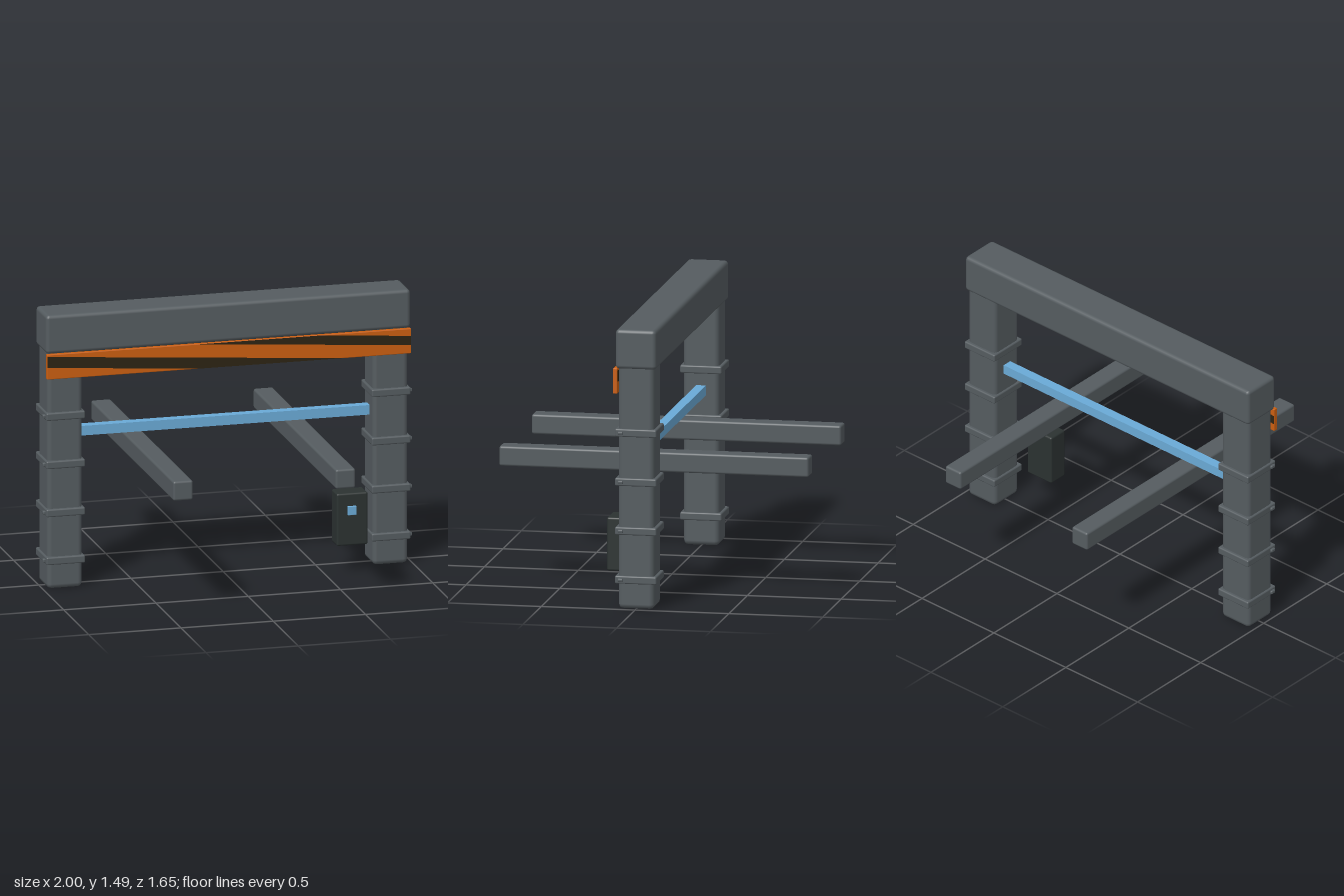
import * as THREE from 'three';
import { RoundedBoxGeometry } from 'three/addons/geometries/RoundedBoxGeometry.js';

const material = (name, color) => {
  const m = new THREE.MeshStandardMaterial({ color });
  m.name = name;
  return m;
};

export function createModel() {
  const group = new THREE.Group();
  const steel = material('steel grey', 0x555c60);
  const orange = material('warning orange', 0xcb5f10);
  const stripeDark = material('stripe black', 0x2d2413);
  const caseDark = material('case black', 0x2b3231);
  const blue = material('light blue', 0x6aaad6);

  // Bevelled box placed by its centre
  function block(name, mat, [w, h, d], [x, y, z], radius, parent = group) {
    const mesh = new THREE.Mesh(new RoundedBoxGeometry(w, h, d, 2, radius), mat);
    mesh.name = name;
    mesh.position.set(x, y, z);
    parent.add(mesh);
    return mesh;
  }

  // Lintel across the top
  block('topBeam', steel, [1.974, 0.21, 0.216], [0, 1.383, 0], 0.02);

  // Posts with clamp bands and outer bolts, and the two long rails
  for (const side of [-1, 1]) {
    const label = side > 0 ? 'left' : 'right';
    const post = new THREE.Group();
    post.name = label + 'PostAssembly';
    group.add(post);
    block(label + 'Post', steel, [0.19, 1.32, 0.19], [side * 0.882, 0.66, 0], 0.025, post);
    for (const y of [0.155, 0.415, 0.676, 0.938]) {
      block('clampBand', steel, [0.21, 0.042, 0.222], [side * 0.882, y, 0], 0.008, post);
      block('clampBolt', steel, [0.03, 0.018, 0.028], [side * 0.985, y, 0.08], 0.005, post);
    }
    block(label + 'Rail', steel, [0.107, 0.106, 1.65], [side * 0.44, 0.692, 0], 0.012);
  }

  // Glowing bar between the posts
  const bar = new THREE.Mesh(new THREE.BoxGeometry(1.6, 0.052, 0.052), blue);
  bar.name = 'crossBar';
  bar.position.set(0, 0.828, 0);
  group.add(bar);

  // Warning board under the lintel
  const sign = new THREE.Group();
  sign.name = 'warningSign';
  sign.position.set(0, 1.213, 0.11);
  group.add(sign);
  block('warningBoard', orange, [1.974, 0.135, 0.024], [0, 0, 0], 0.004, sign);

  // Shallow diagonal stripes, repeated on both faces of the board
  const stripes = [
    [[-0.985, 0.057], [0.62, -0.066], [-0.15, -0.066], [-0.985, -0.003]],
    [[-0.16, 0.066], [0.5, 0.066], [0.985, 0.028], [0.985, -0.022]],
  ];
  for (const angle of [0, Math.PI]) {
    for (const points of stripes) {
      const shape = new THREE.Shape(points.map(([x, y]) => new THREE.Vector2(x, y)));
      const geometry = new THREE.ShapeGeometry(shape).translate(0, 0, 0.0135);
      const stripe = new THREE.Mesh(geometry, stripeDark);
      stripe.name = 'warningStripe';
      stripe.rotation.y = angle;
      sign.add(stripe);
    }
  }

  // Control box with its square indicator
  block('controlBox', caseDark, [0.168, 0.284, 0.11], [0.645, 0.292, 0.149], 0.01);
  block('indicator', blue, [0.048, 0.048, 0.03], [0.642, 0.341, 0.201], 0.003);

  return group;
}
